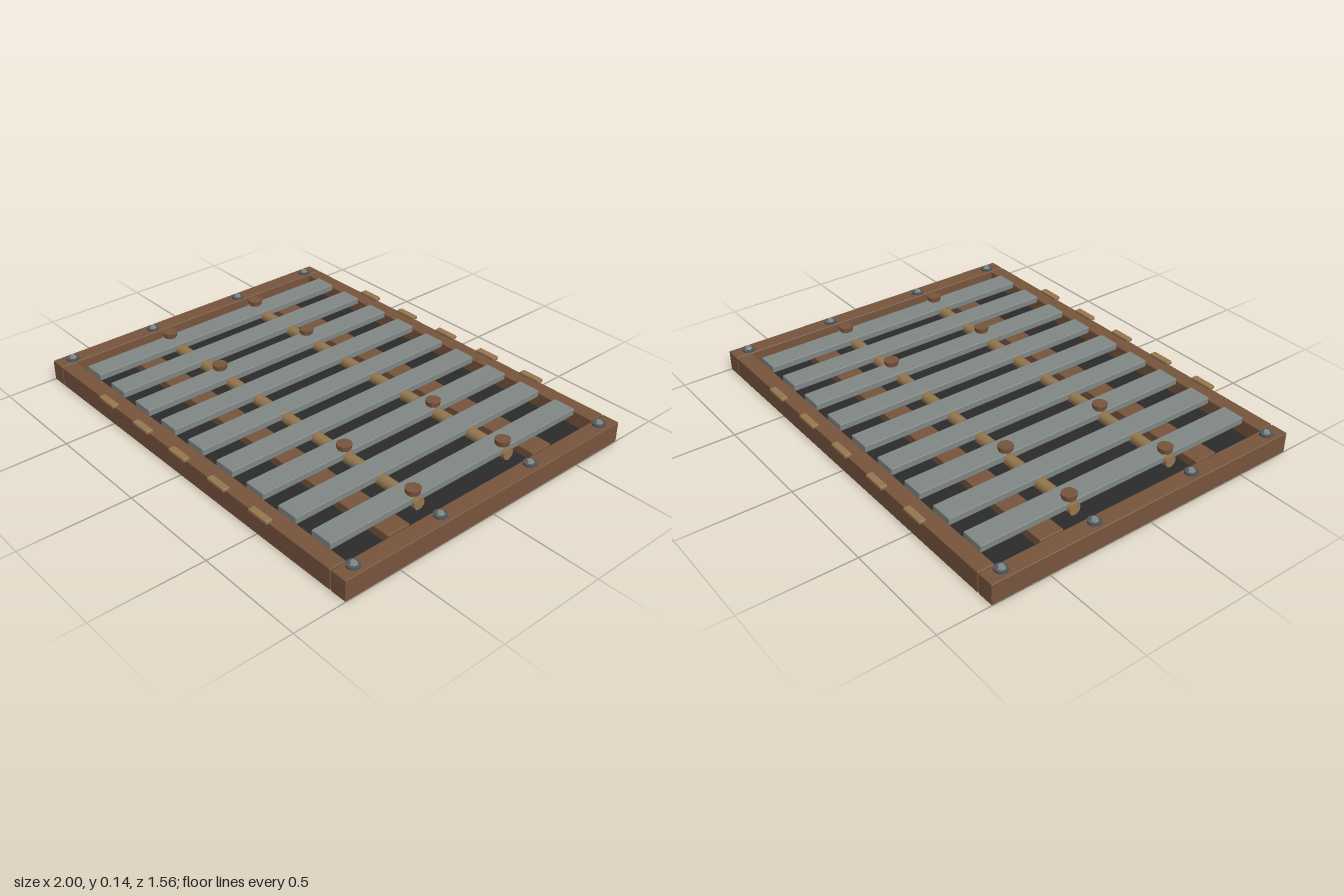
import * as THREE from 'three';
import { RoundedBoxGeometry } from 'three/addons/geometries/RoundedBoxGeometry.js';

const paint = (name, color) => {
  const m = new THREE.MeshStandardMaterial({ color });
  m.name = name;
  return m;
};

export function createModel() {
  const wood = paint('brown wood', 0x78553d);
  const brass = paint('aged brass', 0x94774f);
  const steel = paint('grey steel', 0x808784);
  const iron = paint('dark iron', 0x50575a);
  const black = paint('black floor', 0x2b2b2b);

  const model = new THREE.Group();
  model.name = 'slattedGrate';

  const add = (name, geometry, material, x, y, z) => {
    const mesh = new THREE.Mesh(geometry, material);
    mesh.name = name;
    mesh.position.set(x, y, z);
    model.add(mesh);
    return mesh;
  };
  // Box given by its bottom height, with slightly softened edges
  const block = (name, material, w, h, d, x, bottom, z, r = 0.004) =>
    add(name, new RoundedBoxGeometry(w, h, d, 1, r), material, x, bottom + h / 2, z);
  // Upright round part, given by its bottom height
  const disc = (name, material, rTop, rBottom, h, sides, x, bottom, z) => {
    const g = new THREE.CylinderGeometry(rTop, rBottom, h, sides).toNonIndexed();
    g.computeVertexNormals();
    return add(name, g, material, x, bottom + h / 2, z);
  };

  // Floor panel
  add('floor', new THREE.BoxGeometry(1.85, 0.025, 1.4), black, 0, 0.0165, 0);

  for (const s of [-1, 1]) {
    // Outer frame
    block('sideRail', wood, 0.078, 0.096, 1.53, s * 0.961, 0, 0);
    block('endRail', wood, 1.836, 0.096, 0.076, 0, 0, s * 0.727);
    // Cross beam and rod beneath the slats
    block('crossBeam', wood, 1.785, 0.04, 0.112, 0, 0.029, s * 0.404);
    const rod = add('crossRod', new THREE.CylinderGeometry(0.027, 0.027, 1.69, 12), brass, 0, 0.085, s * 0.252);
    rod.rotation.z = Math.PI / 2;

    // Clips along the end rails
    for (let i = -2; i <= 2; i++) {
      block('edgeClip', brass, 0.11, 0.016, 0.032, i * 0.262, 0.094, s * 0.764);
    }
    // Knobs above the rods
    for (const x of [-0.808, -0.417, 0.417, 0.808]) {
      disc('knobNeck', brass, 0.026, 0.026, 0.025, 10, x, 0.097, s * 0.252);
      disc('knobCap', wood, 0.034, 0.031, 0.022, 10, x, 0.12, s * 0.252);
    }
    // Bolts on the side rails
    for (const z of [-0.688, -0.253, 0.253, 0.688]) {
      disc('boltWasher', iron, 0.029, 0.029, 0.01, 12, s * 0.955, 0.095, z);
      disc('boltHead', steel, 0.013, 0.018, 0.009, 6, s * 0.955, 0.105, z);
    }
  }

  // Slats
  for (let i = -4; i <= 4; i++) {
    block('slat', steel, 0.106, 0.032, 1.37, i * 0.194, 0.082, 0);
  }
  return model;
}
